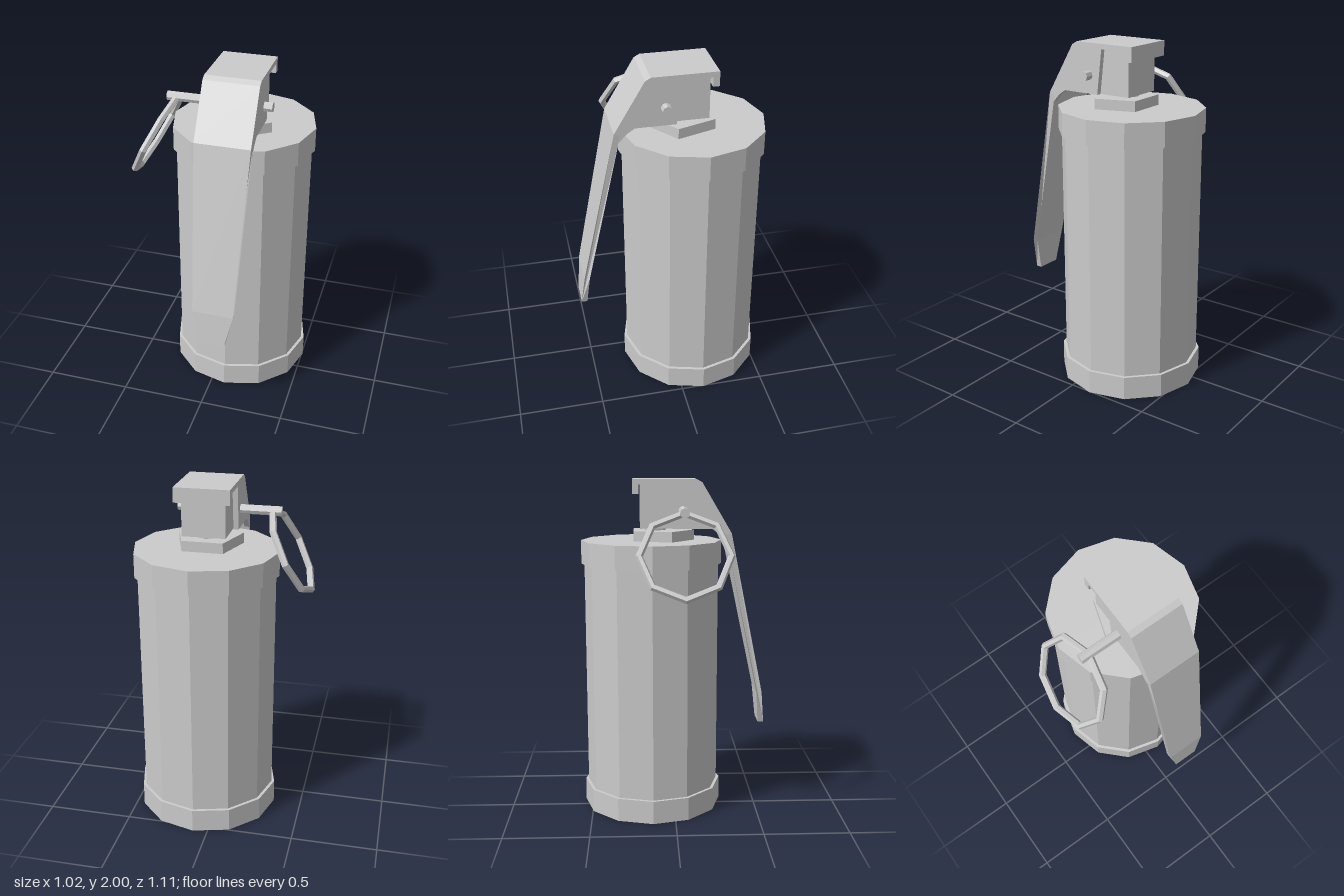
import * as THREE from 'three';

const material = new THREE.MeshStandardMaterial({ color: 0xcccccc, flatShading: true });
const AXIS_X = 0.087;
const AXIS_Z = -0.132;

function add(parent, name, geometry, x = 0, y = 0, z = 0) {
  const mesh = new THREE.Mesh(geometry, material);
  mesh.name = name;
  mesh.position.set(x, y, z);
  parent.add(mesh);
  return mesh;
}

// Upright prism standing on yBottom
function drum(parent, name, radius, yBottom, yTop, sides, z = AXIS_Z) {
  const geometry = new THREE.CylinderGeometry(radius, radius, yTop - yBottom, sides);
  return add(parent, name, geometry, AXIS_X, (yBottom + yTop) / 2, z);
}

// Side profile given as [z, y] points, extruded across x and centred on x = 0
function sideProfile(points, width) {
  const shape = new THREE.Shape(points.map(([z, y]) => new THREE.Vector2(z, y)));
  const geometry = new THREE.ExtrudeGeometry(shape, { depth: width, bevelEnabled: false });
  geometry.translate(0, 0, -width / 2);
  geometry.rotateY(-Math.PI / 2);
  return geometry;
}

// Half width of the lever at a height
function leverHalfWidth(y) {
  if (y >= 1.68) return 0.159;
  if (y >= 0.72) return THREE.MathUtils.mapLinear(y, 0.72, 1.68, 0.12, 0.159);
  return THREE.MathUtils.mapLinear(y, 0.52, 0.72, 0.074, 0.12);
}

export function createModel() {
  const model = new THREE.Group();
  model.name = 'canister';

  // Twelve-sided canister with a rim at each end
  drum(model, 'bottomRim', 0.42, 0, 0.14, 12);
  drum(model, 'body', 0.402, 0.1, 1.54, 12);
  drum(model, 'topRim', 0.42, 1.5, 1.64, 12);

  // Five-sided collar, short neck and head block
  drum(model, 'collar', 0.2, 1.63, 1.7, 5, -0.075);
  drum(model, 'neck', 0.065, 1.69, 1.73, 8, -0.11);
  add(model, 'headBlock', new THREE.BoxGeometry(0.25, 0.255, 0.29), AXIS_X, 1.8425, -0.055);

  // Lever: bent strap, tapered towards its tip
  const lever = new THREE.Group();
  lever.name = 'lever';
  lever.position.x = AXIS_X;
  model.add(lever);

  const strap = sideProfile([
    [-0.242, 1.915], [-0.205, 1.915], [-0.205, 1.97], [0.125, 1.97], [0.142, 1.955],
    [0.3, 1.68], [0.503, 0.72], [0.52, 0.52], [0.555, 0.52], [0.535, 0.72],
    [0.335, 1.69], [0.162, 1.982], [0.13, 2], [-0.242, 2],
  ], 2);
  const pos = strap.attributes.position;
  for (let i = 0; i < pos.count; i++) {
    pos.setX(i, Math.sign(pos.getX(i)) * leverHalfWidth(pos.getY(i)));
  }
  strap.computeVertexNormals();
  add(lever, 'leverStrap', strap);

  // Side cheeks folded down around the head block
  const cheek = [
    [-0.04, 1.97], [-0.01, 1.715], [0.22, 1.715], [0.265, 1.685], [0.309, 1.637],
    [0.3, 1.68], [0.142, 1.955], [0.125, 1.97],
  ];
  for (const side of [-1, 1]) {
    add(lever, side > 0 ? 'leftCheek' : 'rightCheek', sideProfile(cheek, 0.03), side * 0.144);
  }

  // Safety pin through the cheeks
  const pin = new THREE.CylinderGeometry(0.028, 0.028, 0.606, 8);
  pin.rotateZ(Math.PI / 2);
  add(model, 'pin', pin, -0.008, 1.82, 0.05);

  // Eight-sided pull ring hanging from the pin
  const ring = new THREE.TorusGeometry(0.255, 0.021, 6, 8);
  ring.rotateY(Math.PI / 2);
  ring.rotateZ(-0.48);
  add(model, 'pullRing', ring, -0.375, 1.59, 0.05);

  return model;
}
